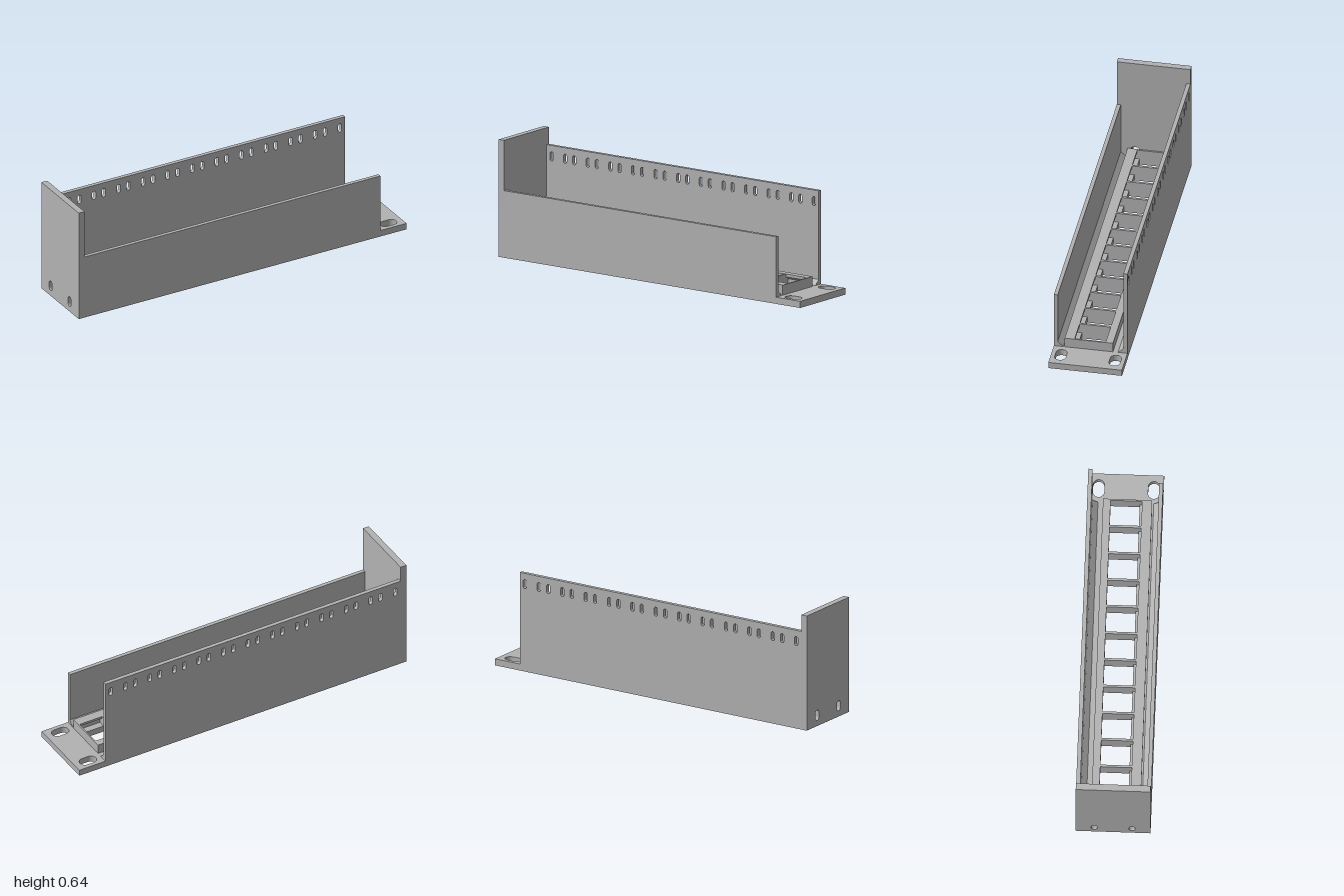
import * as THREE from 'three';

// Upright slot with round ends: centre, radius and half distance between end centres
function slot(cx, cy, r, half, horizontal = false) {
  const p = new THREE.Path();
  if (horizontal) {
    p.absarc(cx + half, cy, r, -Math.PI / 2, Math.PI / 2, false);
    p.absarc(cx - half, cy, r, Math.PI / 2, Math.PI * 1.5, false);
  } else {
    p.absarc(cx, cy + half, r, 0, Math.PI, false);
    p.absarc(cx, cy - half, r, Math.PI, Math.PI * 2, false);
  }
  p.closePath();
  return p;
}

function polygon(points) {
  return new THREE.Shape(points.map(([a, b]) => new THREE.Vector2(a, b)));
}

function rect(a0, b0, a1, b1) {
  return polygon([[a0, b0], [a1, b0], [a1, b1], [a0, b1]]);
}

function extrude(shape, depth) {
  return new THREE.ExtrudeGeometry(shape, { depth, bevelEnabled: false, curveSegments: 12 });
}

// Profile in (z, y), run along x from x0 to x1
function alongX(shape, x0, x1) {
  return extrude(shape, x1 - x0).rotateY(-Math.PI / 2).translate(x1, 0, 0);
}

// Conical wall joining two slots of different radius in the end plate
function taper(z, y, half, rOuter, rInner, xOuter, xInner) {
  const a = slot(z, y, rOuter, half).getPoints(12);
  const b = slot(z, y, rInner, half).getPoints(12);
  const pos = [], index = [];
  a.forEach((p, i) => {
    pos.push(xOuter, p.y, p.x, xInner, b[i].y, b[i].x);
    const j = (i + 1) % a.length;
    index.push(2 * i, 2 * j, 2 * i + 1, 2 * j, 2 * j + 1, 2 * i + 1);
  });
  const g = new THREE.BufferGeometry();
  g.setAttribute('position', new THREE.Float32BufferAttribute(pos, 3));
  g.setIndex(index);
  g.computeVertexNormals();
  return g;
}

export function createModel() {
  const model = new THREE.Group();
  model.name = 'patchPanelBracket';
  const grey = new THREE.MeshStandardMaterial({ color: 0xb2b2b2, side: THREE.DoubleSide });
  grey.name = 'plasticGrey';
  const add = (name, geometry) => {
    const m = new THREE.Mesh(geometry, grey);
    m.name = name;
    model.add(m);
  };

  const H = 0.036, X0 = -0.965, X1 = 0.84, PITCH = 0.15, COUNT = 12;
  const cells = Array.from({ length: COUNT }, (_, i) => -0.887 + PITCH * i);

  // Base plate with jack openings and two mounting slots
  const base = rect(X0, -0.198, 1, 0.198);
  for (const c of cells) base.holes.push(rect(c - 0.069, -0.08, c + 0.069, 0.074));
  for (const z of [-0.146, 0.146]) base.holes.push(slot(0.917, z, 0.03, 0.019, true));
  add('basePlate', extrude(base, H).rotateX(Math.PI / 2).translate(0, H, 0));

  // Tall end plate with two countersunk slots
  const slotY = 0.06, half = 0.0125, skin = 0.008;
  const endPlate = (r) => {
    const s = rect(-0.198, 0, 0.198, 0.637);
    for (const z of [-0.1, 0.1]) s.holes.push(slot(z, slotY, r, half));
    return s;
  };
  add('endPlateOuter', alongX(endPlate(0.016), -1, -1 + skin));
  add('endPlateInner', alongX(endPlate(0.031), -1 + skin, X0));
  for (const z of [-0.1, 0.1]) {
    add('countersink', taper(z, slotY, half, 0.016, 0.031, -1 + skin, X0));
  }

  // Low front wall with its foot chamfer
  add('frontWall', alongX(polygon([
    [0.148, H], [0.148, 0], [0.198, 0], [0.198, 0.364], [0.177, 0.364], [0.177, 0.065],
  ]), X0, X1));

  // High back wall with paired cable tie slots
  const back = rect(X0, 0, X1, 0.545);
  for (const c of cells) {
    for (const d of [-0.045, 0.045]) back.holes.push(slot(c + d, 0.485, 0.011, 0.014));
  }
  add('backWall', extrude(back, 0.022).translate(0, 0, -0.198));
  add('backFoot', alongX(polygon([
    [-0.177, H], [-0.147, H], [-0.177, 0.065],
  ]), X0, X1));

  // Jack housing: hooked rails with undercuts, and dividers between the cells
  add('frontRail', alongX(polygon([
    [0.14, H], [0.14, 0.091], [0.087, 0.091], [0.087, 0.078], [0.112, 0.062], [0.112, H],
  ]), X0, X1));
  add('backRail', alongX(polygon([
    [-0.12, H], [-0.12, 0.091], [-0.08, 0.091], [-0.08, 0.076], [-0.1, 0.062], [-0.1, H],
  ]), X0, X1));
  for (let i = 0; i <= COUNT; i++) {
    const x = cells[0] - PITCH / 2 + PITCH * i;
    const a = Math.max(X0, x - 0.006), b = Math.min(X1, x + 0.006);
    add('cellDivider', alongX(rect(-0.119, H, 0.139, 0.0905), a, b));
  }

  return model;
}
